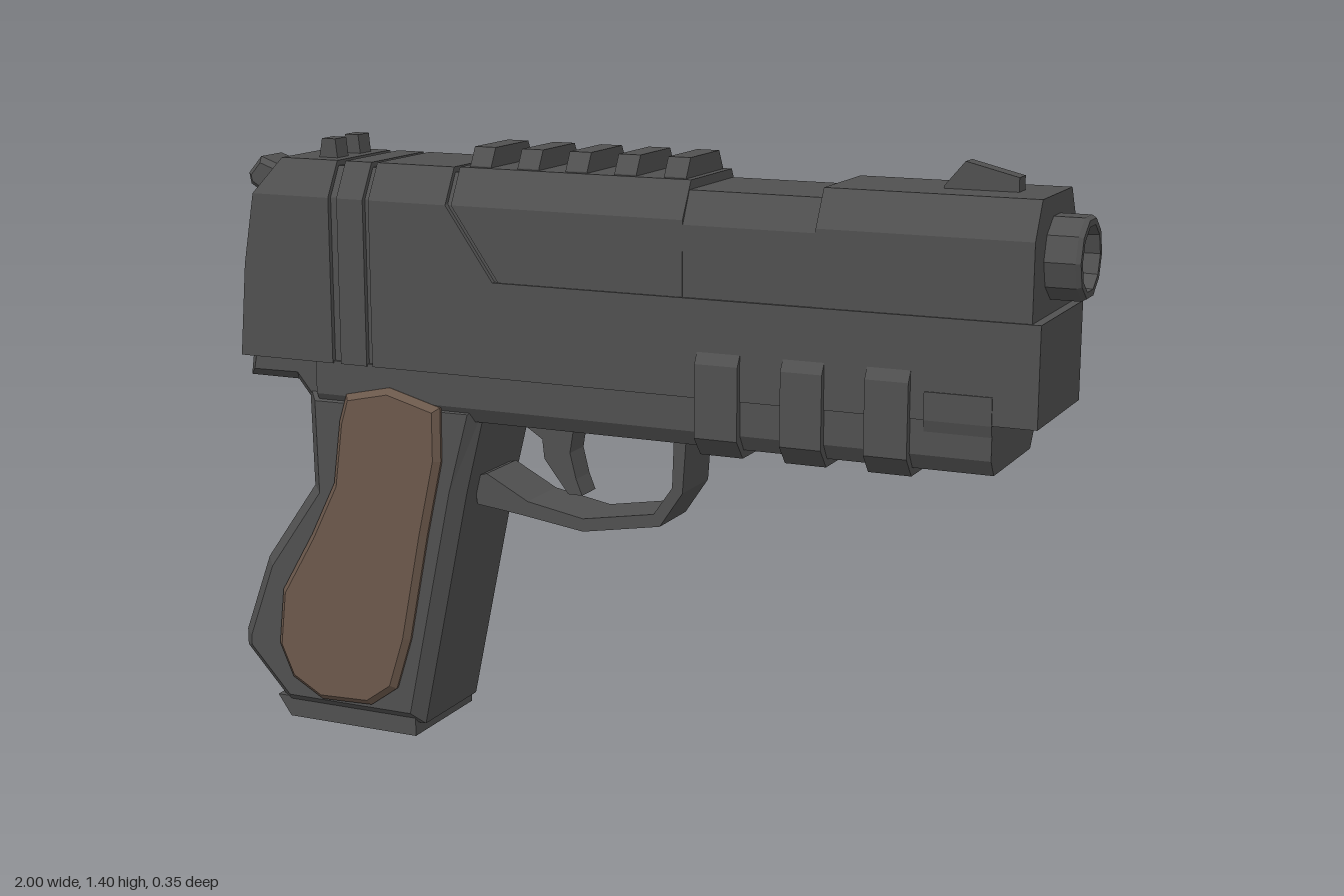
import * as THREE from 'three';

const metal = new THREE.MeshStandardMaterial({ color: 0x505050 });
metal.name = 'dark gunmetal';
const wood = new THREE.MeshStandardMaterial({ color: 0x6b584b });
wood.name = 'brown grip';

const toShape = (pts) => new THREE.Shape(pts.map(([x, y]) => new THREE.Vector2(x, y)));

function faceted(geo) {
  const g = geo.index ? geo.toNonIndexed() : geo;
  g.computeVertexNormals();
  return g;
}

// Side outline (x, y) given a width in z, with one chamfer around the rim
function sideGeo(pts, half, bevel = 0) {
  const g = new THREE.ExtrudeGeometry(toShape(pts), {
    depth: 2 * (half - bevel), bevelEnabled: bevel > 0, bevelSize: bevel,
    bevelThickness: bevel, bevelOffset: -bevel, bevelSegments: 1,
  });
  g.translate(0, 0, bevel - half);
  return faceted(g);
}

// Mirrored half section (z, y), listed bottom to top, run along x;
// each end is a number or a function of y for slanted ends
function sectionGeo(halfPts, x0, x1) {
  const pts = [...halfPts, ...halfPts.map(([z, y]) => [-z, y]).reverse()];
  const g = new THREE.ExtrudeGeometry(toShape(pts), { depth: 1, bevelEnabled: false });
  g.rotateY(Math.PI / 2);
  const at = (e, y) => (typeof e === 'function' ? e(y) : e);
  const p = g.attributes.position;
  for (let i = 0; i < p.count; i++) {
    const y = p.getY(i);
    p.setX(i, THREE.MathUtils.lerp(at(x0, y), at(x1, y), p.getX(i)));
  }
  return faceted(g);
}

// Piecewise linear x as a function of y
const slant = (table, shift = 0) => (y) => {
  let k = 0;
  while (k < table.length - 2 && y > table[k + 1][0]) k++;
  const [y0, a] = table[k], [y1, b] = table[k + 1];
  const t = THREE.MathUtils.clamp((y - y0) / (y1 - y0), 0, 1);
  return a + (b - a) * t + shift;
};

export function createModel() {
  const model = new THREE.Group();
  model.name = 'pistol';
  const add = (name, geo, mat = metal) => {
    const m = new THREE.Mesh(geo, mat);
    m.name = name;
    model.add(m);
    return m;
  };

  // Shared upper cross-section
  const upper = (w, bottom, top = 1.345) => [
    [w, bottom], [w, 1.1], [w, 1.265], [w - 0.045 * (top - 1.265) / 0.08, top],
  ];
  const back = slant([[0.885, -0.96], [1.24, -0.93], [1.345, -0.86]]);
  const seam = [[1.1, -0.295], [1.255, -0.41], [1.345, -0.41]];

  // Slide: rear block, band, main block, then the slanted front cover
  add('slideCore', sectionGeo(upper(0.15, 0.89, 1.333), -0.85, 0.15));
  add('slideRear', sectionGeo(upper(0.162, 0.885), back, -0.712));
  add('slideBand', sectionGeo(upper(0.162, 0.885), -0.69, -0.622));
  add('slideMain', sectionGeo(upper(0.162, 1.1).filter((_, i) => i !== 1), -0.607, slant(seam)));
  add('slideCover', sectionGeo(upper(0.157, 1.1).filter((_, i) => i !== 1), slant(seam, 0.012), 0.16));
  add('ejectionPort', sectionGeo([[0.155, 1.1], [0.155, 1.255], [0.12, 1.325]], 0.155, 0.465));
  add('slideFront', sectionGeo(upper(0.157, 1.1).filter((_, i) => i !== 1), 0.46, 0.925));

  // Frame
  add('frame', sectionGeo([[0.162, 0.885], [0.162, 1.1]], -0.607, 0.945));
  add('lowerFrame', sectionGeo([[0.135, 0.775], [0.158, 0.81], [0.158, 0.89]], -0.76, 0.85));
  add('railBlock', sectionGeo([[0.158, 0.86], [0.165, 0.885], [0.165, 0.945]], 0.705, 0.85));
  add('tang', sideGeo([
    [-0.965, 0.83], [-0.835, 0.83], [-0.79, 0.775], [-0.6, 0.775], [-0.6, 0.9], [-0.955, 0.9],
  ], 0.135, 0.02));

  // Clamps around the lower frame
  for (const [a, b] of [[0.197, 0.296], [0.393, 0.486], [0.58, 0.675]]) {
    add('railClamp', sectionGeo(
      [[0.14, 0.757], [0.176, 0.8], [0.176, 0.962], [0.162, 0.986]], a, b));
  }

  // Top rail teeth
  for (let i = 0; i < 5; i++) {
    const x = -0.352 + i * 0.1175;
    add('railTooth', sectionGeo([[0.1, 1.335], [0.1, 1.348], [0.078, 1.388]], x - 0.026, x + 0.026));
  }

  // Sights
  for (const s of [-1, 1]) {
    add('rearSight', sideGeo([
      [-0.788, 1.335], [-0.737, 1.335], [-0.743, 1.388], [-0.778, 1.388],
    ], 0.024)).position.z = s * 0.05;
  }
  add('frontSight', sideGeo([
    [0.69, 1.335], [0.85, 1.335], [0.85, 1.375], [0.735, 1.403], [0.69, 1.35],
  ], 0.022));

  // Hollow muzzle
  const muzzle = new THREE.LatheGeometry([
    [0.09, 0.9], [0.09, 0.99], [0.084, 1], [0.07, 1], [0.066, 0.935], [0, 0.935],
  ].map(([r, y]) => new THREE.Vector2(r, y)), 10);
  muzzle.rotateZ(-Math.PI / 2);
  muzzle.translate(0, 1.216, 0);
  add('muzzle', faceted(muzzle));

  // Hammer
  add('hammer', sideGeo([
    [-1, 1.295], [-0.965, 1.335], [-0.865, 1.3], [-0.84, 1.2], [-0.92, 1.225], [-0.995, 1.27],
  ], 0.055, 0.012));

  // Grip with base plate and side panels
  add('grip', sideGeo([
    [-0.88, 0.03], [-0.51, 0.03], [-0.39, 0.6], [-0.335, 0.82], [-0.8, 0.82],
    [-0.795, 0.58], [-0.93, 0.39], [-1, 0.2], [-1, 0.16],
  ], 0.153, 0.03));
  add('basePlate', sideGeo([
    [-0.875, 0], [-0.53, 0], [-0.53, 0.05], [-0.91, 0.05],
  ], 0.137));
  const panel = sideGeo([
    [-0.68, 0.815], [-0.7, 0.75], [-0.72, 0.6], [-0.785, 0.47], [-0.87, 0.325],
    [-0.885, 0.19], [-0.85, 0.11], [-0.77, 0.065], [-0.635, 0.07], [-0.565, 0.12],
    [-0.525, 0.245], [-0.475, 0.5], [-0.435, 0.68], [-0.435, 0.805], [-0.565, 0.84],
  ], 0.0175, 0.014);
  for (const s of [-1, 1]) add('gripPanel', panel, wood).position.z = s * 0.156;

  // Trigger and guard
  add('trigger', sideGeo([
    [-0.31, 0.79], [-0.31, 0.77], [-0.24, 0.725], [-0.235, 0.68], [-0.175, 0.603], [-0.14, 0.603],
    [-0.155, 0.64], [-0.17, 0.7], [-0.155, 0.79],
  ], 0.035));
  add('triggerGuard', sideGeo([
    [-0.4, 0.63], [-0.39, 0.565], [-0.285, 0.553], [-0.12, 0.53], [0.07, 0.563], [0.125, 0.645],
    [0.135, 0.79], [0.105, 0.79], [0.1, 0.655], [0.055, 0.59], [-0.12, 0.56],
    [-0.26, 0.585], [-0.365, 0.64],
  ], 0.072));

  return model;
}
